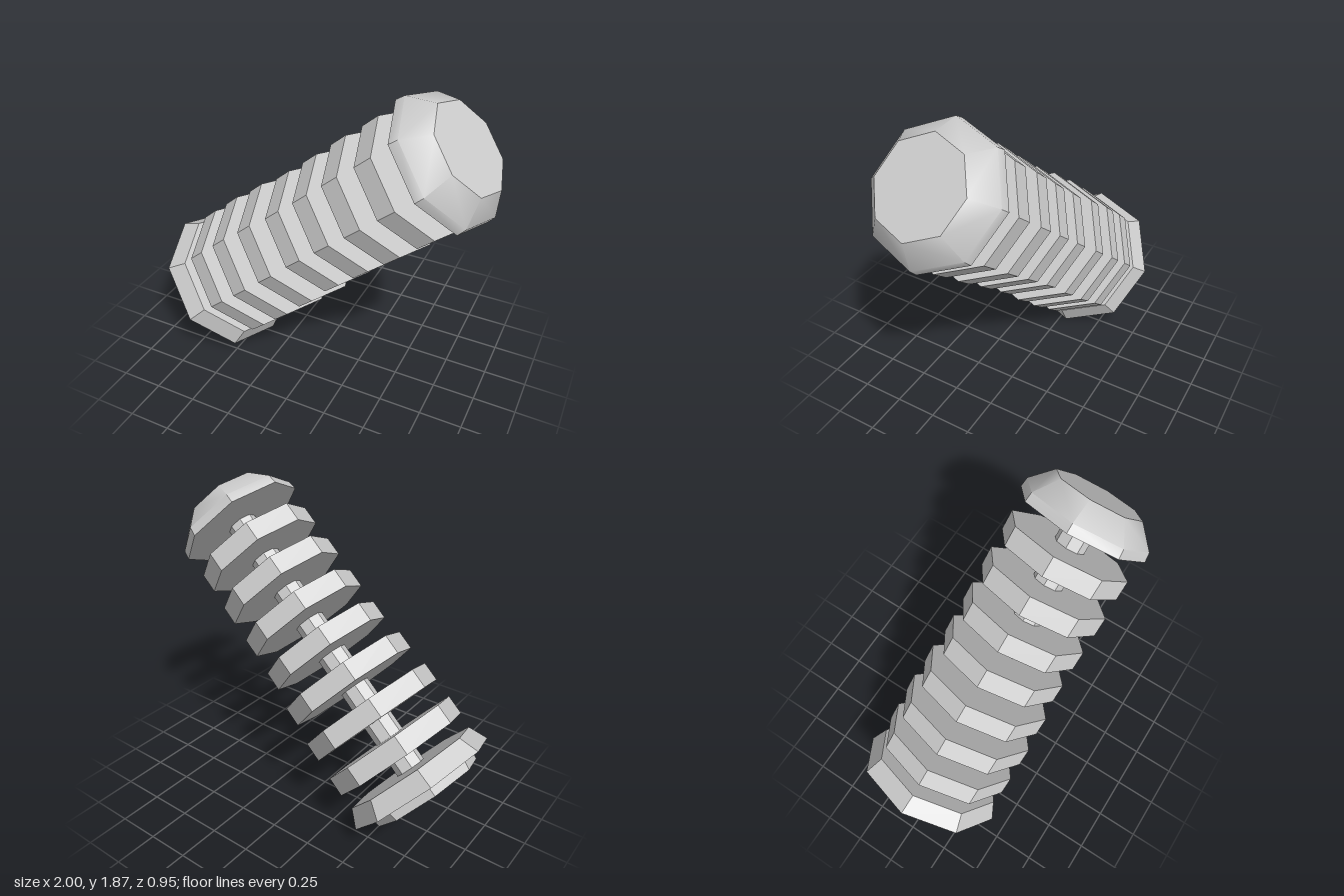
import * as THREE from 'three';
import { toCreasedNormals } from 'three/addons/utils/BufferGeometryUtils.js';

const SIDES = 8;

export function createModel() {
  const model = new THREE.Group();
  model.name = 'ribbedColumn';

  // Everything is stacked along the local y axis of this tilted group
  const column = new THREE.Group();
  column.name = 'column';
  const axis = new THREE.Vector3(0.753, 0.655, 0.063).normalize();
  const side = new THREE.Vector3(0, 0, 1).addScaledVector(axis, -axis.z).normalize();
  const up = new THREE.Vector3().crossVectors(side, axis);
  column.quaternion.setFromRotationMatrix(new THREE.Matrix4().makeBasis(side, axis, up));
  column.rotateY(0.06);
  column.position.set(0.0225, 0.97, 0.042);
  model.add(column);

  const flat = new THREE.MeshStandardMaterial({ color: 0xcccccc, flatShading: true });
  const smooth = new THREE.MeshStandardMaterial({ color: 0xcccccc });

  // Octagonal slab between two heights, with its own bottom and top radius
  function slab(name, from, to, rBottom, rTop = rBottom) {
    const mesh = new THREE.Mesh(new THREE.CylinderGeometry(rTop, rBottom, to - from, SIDES), flat);
    mesh.position.y = (from + to) / 2;
    mesh.name = name;
    column.add(mesh);
  }

  // Thin central shaft
  slab('shaft', -0.86, 0.9, 0.09);

  // Foot plate and flared base flange
  slab('footPlate', -1.02, -0.95, 0.335, 0.35);
  slab('baseFlange', -0.96, -0.85, 0.455, 0.405);

  // Evenly spaced ribs, slightly smaller towards the head
  const radii = [0.415, 0.412, 0.397, 0.374, 0.37, 0.37, 0.364];
  radii.forEach((r, i) => {
    const t = (i - 3) * 0.2337;
    slab('rib' + (i + 1), t - 0.058, t + 0.058, r);
  });

  // Domed head with a flat cap
  const profile = [[0, 0], [0.384, 0], [0.376, 0.055], [0.262, 0.172], [0, 0.172]]
    .map(([r, h]) => new THREE.Vector2(r, h));
  const head = new THREE.Mesh(
    toCreasedNormals(new THREE.LatheGeometry(profile, SIDES), 0.75), smooth);
  head.position.y = 0.893;
  head.name = 'head';
  column.add(head);

  return model;
}
